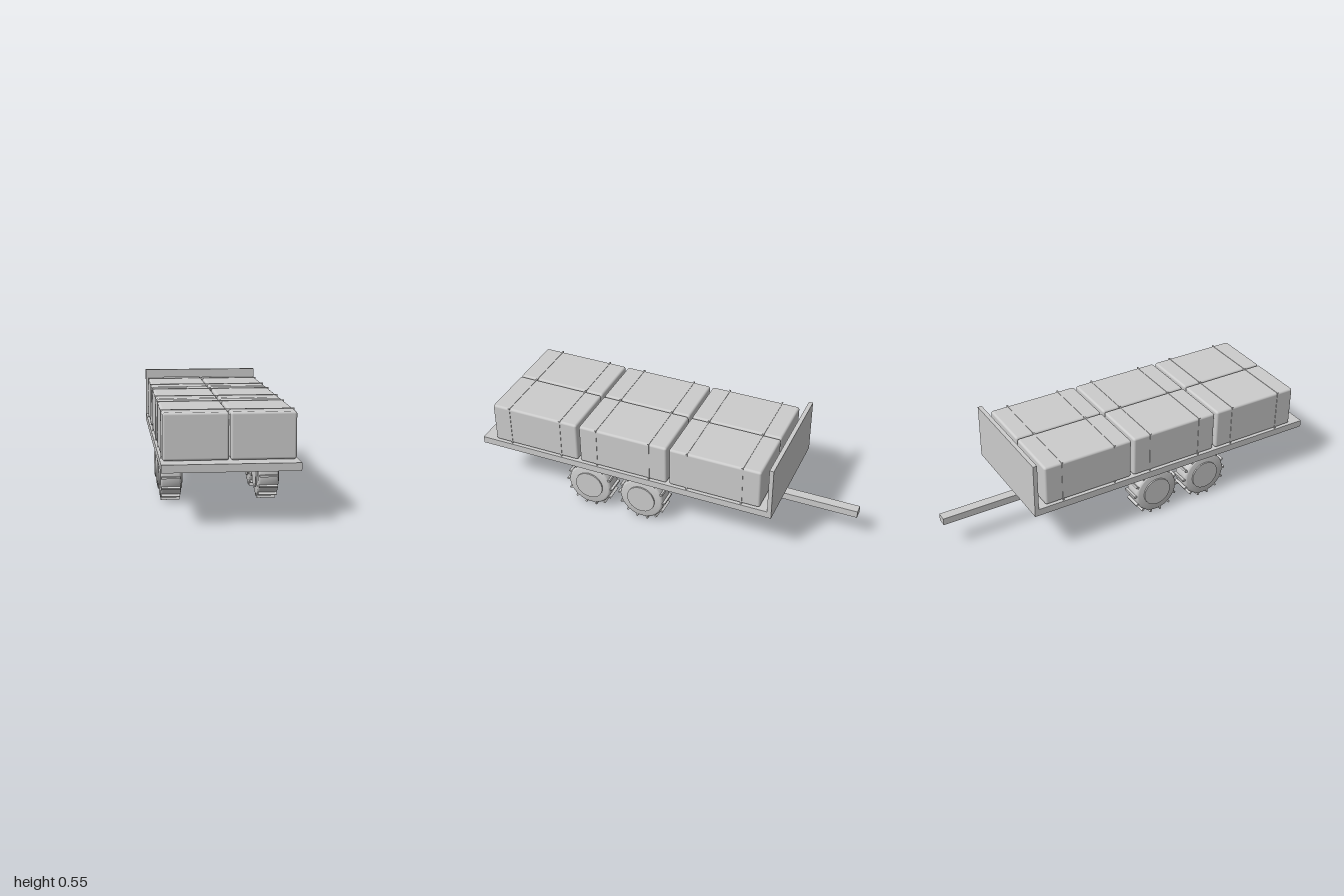
import * as THREE from 'three';
import { RoundedBoxGeometry } from 'three/addons/geometries/RoundedBoxGeometry.js';
import { toCreasedNormals } from 'three/addons/utils/BufferGeometryUtils.js';

const grey = new THREE.MeshStandardMaterial({ color: 0xcccccc });
grey.name = 'light grey';

function add(parent, name, geometry, x = 0, y = 0, z = 0) {
  const mesh = new THREE.Mesh(geometry, grey);
  mesh.name = name;
  mesh.position.set(x, y, z);
  parent.add(mesh);
  return mesh;
}

// Tyre with rounded shoulders, hub discs and 14 cross lugs; axle along x
function createWheel() {
  const wheel = new THREE.Group();
  wheel.name = 'wheel';
  const profile = [
    [0, -0.051], [0.108, -0.051], [0.114, -0.049], [0.118, -0.045], [0.12, -0.039],
    [0.12, 0.039], [0.118, 0.045], [0.114, 0.049], [0.108, 0.051], [0, 0.051],
  ].map(([r, h]) => new THREE.Vector2(r, h));
  const tyre = toCreasedNormals(new THREE.LatheGeometry(profile, 40), 0.6);
  add(wheel, 'tyre', tyre.rotateZ(Math.PI / 2));
  add(wheel, 'hub', new THREE.CylinderGeometry(0.077, 0.077, 0.117, 32).rotateZ(Math.PI / 2));
  const lug = new THREE.BoxGeometry(0.092, 0.01, 0.02).translate(0, 0, 0.1235);
  for (let i = 0; i < 14; i++) {
    add(wheel, 'treadLug', lug).rotation.x = (i / 14) * Math.PI * 2;
  }
  return wheel;
}

// Packed bale with two narrow straps around it
function createBale() {
  const bale = new THREE.Group();
  bale.name = 'bale';
  add(bale, 'baleBody', new RoundedBoxGeometry(0.302, 0.219, 0.488, 3, 0.012));
  for (const z of [-0.147, 0.147]) {
    add(bale, 'strap', new THREE.BoxGeometry(0.307, 0.224, 0.007), 0, 0, z);
  }
  return bale;
}

export function createModel() {
  const trailer = new THREE.Group();
  trailer.name = 'flatbedTrailer';

  // Bed, headboard and drawbar
  add(trailer, 'deck', new THREE.BoxGeometry(0.63, 0.037, 1.632), 0, 0.2715, 0.184);
  add(trailer, 'headboard', new THREE.BoxGeometry(0.63, 0.258, 0.022), 0, 0.419, -0.621);
  add(trailer, 'drawbar', new THREE.BoxGeometry(0.05, 0.038, 0.555), 0, 0.171, -0.7225);

  for (const side of [-1, 1]) {
    // Load: three bales per side
    for (const z of [-0.323, 0.179, 0.681]) {
      const bale = createBale();
      bale.position.set(side * 0.154, 0.4015, z);
      trailer.add(bale);
    }
    // Tandem wheels
    for (const z of [0.085, 0.385]) {
      const wheel = createWheel();
      wheel.position.set(side * 0.2405, 0.133, z);
      trailer.add(wheel);
    }
  }
  return trailer;
}
